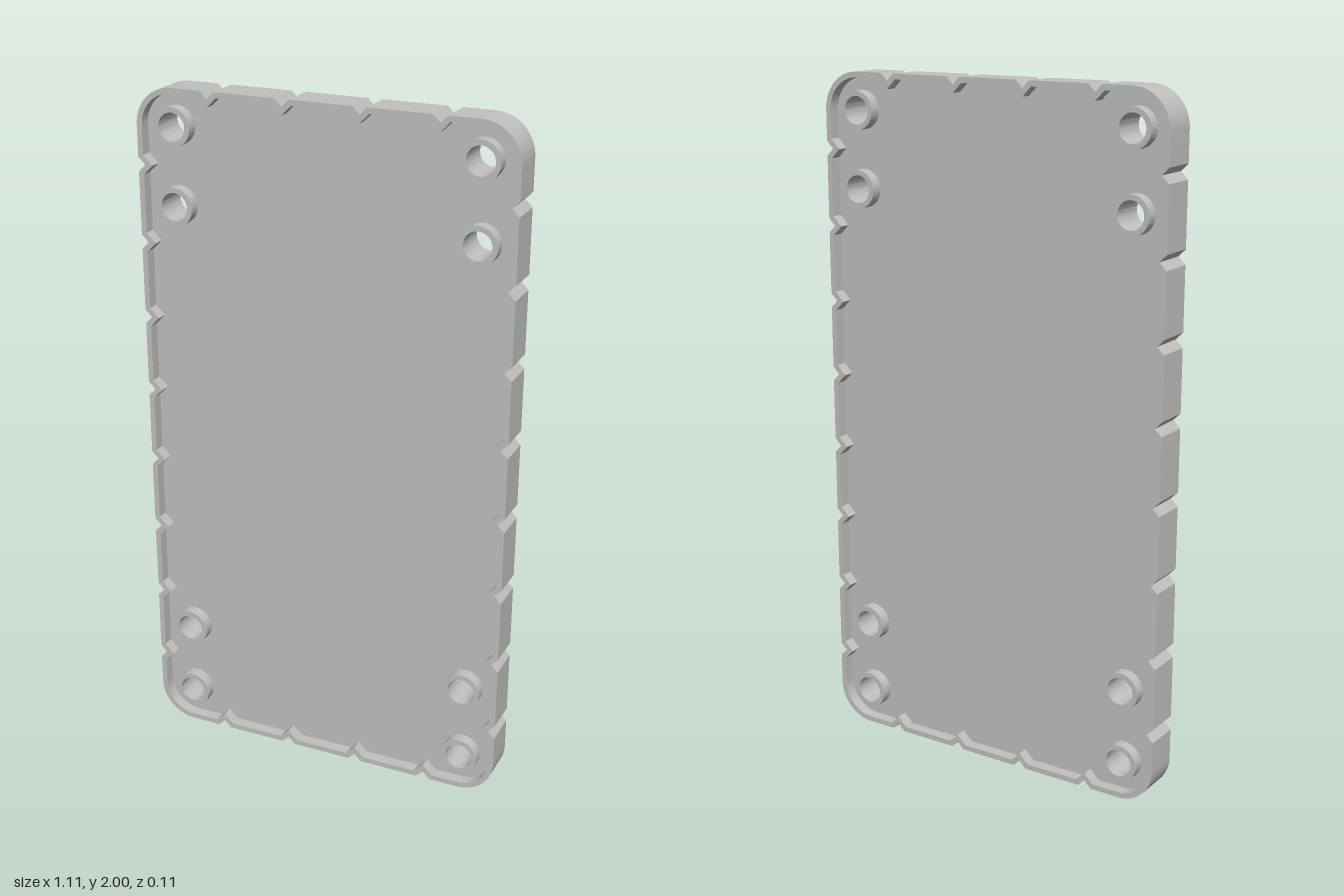
import * as THREE from 'three';
import { toCreasedNormals } from 'three/addons/utils/BufferGeometryUtils.js';

const HALF_W = 0.5535, HALF_H = 1, CORNER = 0.11;
const DEPTH = 0.106, WALL = 0.016, WEB = 0.038;
const PITCH = 0.2228, NOTCH = 0.021;
const HOLE_R = 0.04, BOSS_R = 0.055;

// Rounded outline with 45 degree notches, inset evenly by d
function outline(d) {
  const points = [];
  const half = NOTCH + d * (Math.SQRT2 - 1); // notch half width on the inset edge
  const sides = [
    { a: HALF_W, b: HALF_H, n: 8 }, { a: HALF_H, b: HALF_W, n: 4 },
    { a: HALF_W, b: HALF_H, n: 8 }, { a: HALF_H, b: HALF_W, n: 4 },
  ];
  sides.forEach(({ a, b, n }, side) => {
    const turn = side * Math.PI / 2;
    const add = (x, y) => points.push(new THREE.Vector2(x, y).rotateAround(new THREE.Vector2(), turn));
    for (let i = 0; i < n; i++) {
      const t = (i - (n - 1) / 2) * PITCH;
      add(a - d, t - half);
      add(a - d - half, t);
      add(a - d, t + half);
    }
    for (let i = 0; i <= 14; i++) {
      const angle = i / 14 * Math.PI / 2;
      add(a - CORNER + Math.cos(angle) * (CORNER - d), b - CORNER + Math.sin(angle) * (CORNER - d));
    }
  });
  return points;
}

function circle(x, y, r) {
  return new THREE.Path().absarc(x, y, r, 0, Math.PI * 2, false);
}

// Extrude a shape, centred on z = 0
function slab(shape, depth) {
  const geometry = new THREE.ExtrudeGeometry(shape, { depth, bevelEnabled: false, curveSegments: 32 });
  geometry.translate(0, 0, -depth / 2);
  return toCreasedNormals(geometry, 0.6);
}

export function createModel() {
  const model = new THREE.Group();
  model.name = 'notchedPlate';
  const grey = new THREE.MeshStandardMaterial({ color: 0xc0c0c0 });
  grey.name = 'lightGrey';

  const body = new THREE.Group();
  body.name = 'body';
  body.position.y = HALF_H;
  model.add(body);

  const addPart = (name, shape, depth) => {
    const mesh = new THREE.Mesh(slab(shape, depth), grey);
    mesh.name = name;
    body.add(mesh);
  };

  // Raised rim around the edge on both faces
  const rim = new THREE.Shape(outline(0));
  rim.holes.push(new THREE.Path(outline(WALL)));
  addPart('rim', rim, DEPTH);

  // Recessed panel, open where the bosses pass through
  const panel = new THREE.Shape(outline(WALL));
  for (const x of [-0.445, 0.445]) {
    for (const y of [-0.893, -0.67, 0.67, 0.893]) {
      panel.holes.push(circle(x, y, BOSS_R));

      // Screw boss with a through hole
      const boss = new THREE.Shape();
      boss.absarc(x, y, BOSS_R, 0, Math.PI * 2, false);
      boss.holes.push(circle(x, y, HOLE_R));
      addPart('screwBoss', boss, DEPTH);
    }
  }
  addPart('panel', panel, WEB);

  return model;
}
